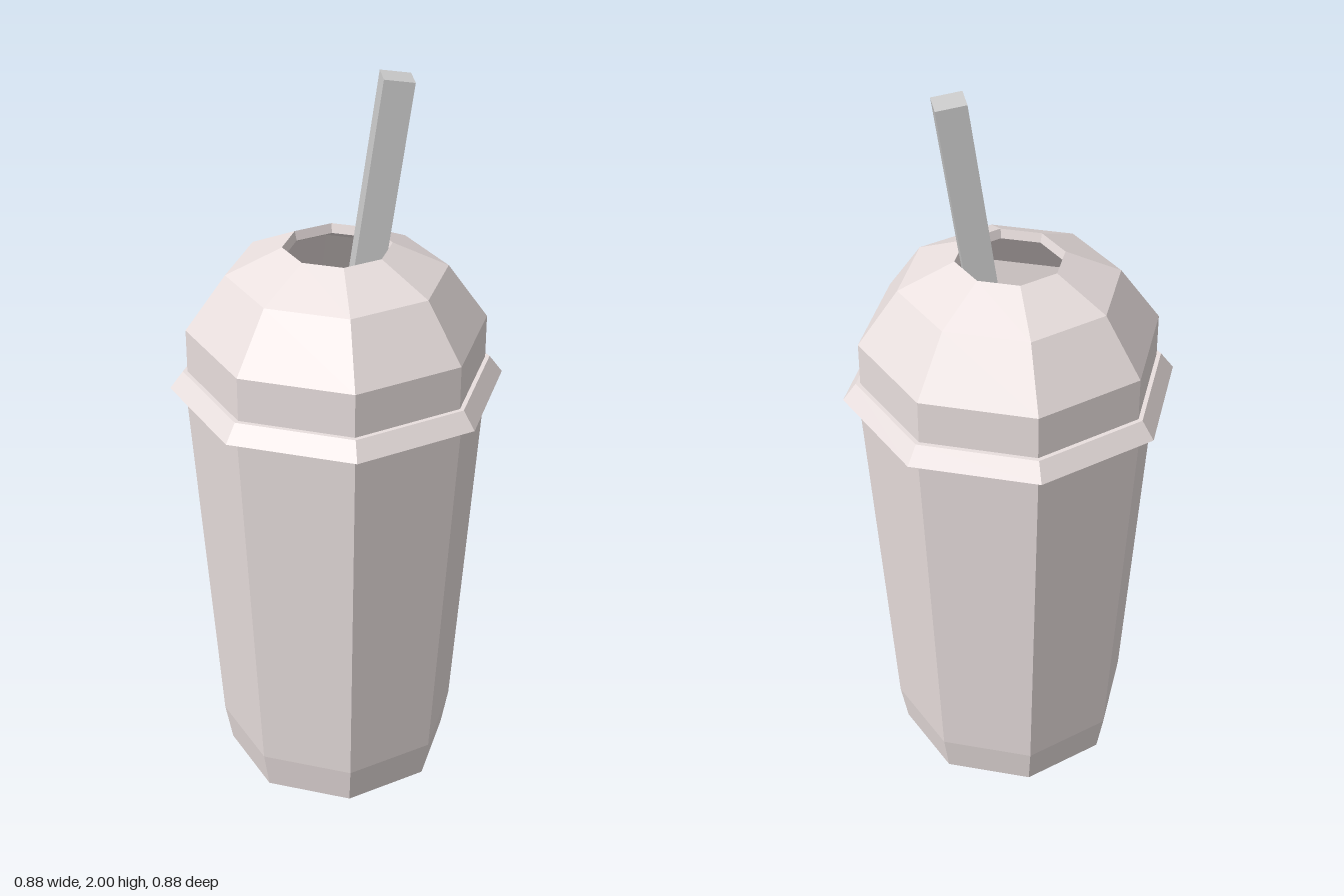
import * as THREE from 'three';

const cupMaterial = new THREE.MeshStandardMaterial({ color: 0xe9dfde, flatShading: true, side: THREE.DoubleSide });
const greyMaterial = new THREE.MeshStandardMaterial({ color: 0xcccccc, flatShading: true });

function addMesh(parent, name, geometry, material) {
  const mesh = new THREE.Mesh(geometry, material);
  mesh.name = name;
  parent.add(mesh);
  return mesh;
}

// Eight-sided turned part from [radius, height] pairs
function octagonal(points) {
  return new THREE.LatheGeometry(points.map(([r, y]) => new THREE.Vector2(r, y)), 8);
}

export function createModel() {
  const model = new THREE.Group();
  model.name = 'drinkCup';

  // Tapered cup with a closed base
  addMesh(model, 'cup', octagonal([[0, 0], [0.31, 0], [0.33, 0.11], [0.4, 1.175]]), cupMaterial);

  // Flared lip where the lid snaps on
  addMesh(model, 'lidLip', octagonal([[0.395, 1.175], [0.44, 1.175], [0.405, 1.222], [0.393, 1.222]]), cupMaterial);

  // Domed lid with thickness and an open hole on top
  addMesh(model, 'domeLid', octagonal([
    [0.393, 1.222], [0.393, 1.34], [0.287, 1.49], [0.141, 1.56],
    [0.135, 1.535], [0.275, 1.47], [0.38, 1.33], [0.38, 1.18],
  ]), cupMaterial);

  // Surface of the drink
  addMesh(model, 'drinkSurface', octagonal([[0.39, 1.08], [0, 1.08]]), greyMaterial);

  // Ice cubes breaking the surface: [x, y, z, rotX, rotY, rotZ]
  const ice = new THREE.Group();
  ice.name = 'iceCubes';
  model.add(ice);
  const placements = [
    [-0.17, 1.09, 0.01, 0.5, 0.3, 0.4],
    [0.06, 1.08, -0.19, 0.4, 0.7, 0.3],
  ];
  for (const [x, y, z, rx, ry, rz] of placements) {
    const cube = addMesh(ice, 'iceCube', new THREE.BoxGeometry(0.14, 0.14, 0.14), greyMaterial);
    cube.position.set(x, y, z);
    cube.rotation.set(rx, ry, rz);
  }

  // Square straw leaning toward +x
  const length = 1.0, tilt = 0.14;
  const straw = addMesh(model, 'straw', new THREE.BoxGeometry(0.078, length, 0.078).translate(0, -length / 2, 0), greyMaterial);
  straw.position.set(0.146, 1.9945, 0);
  straw.rotation.z = -tilt;

  return model;
}
